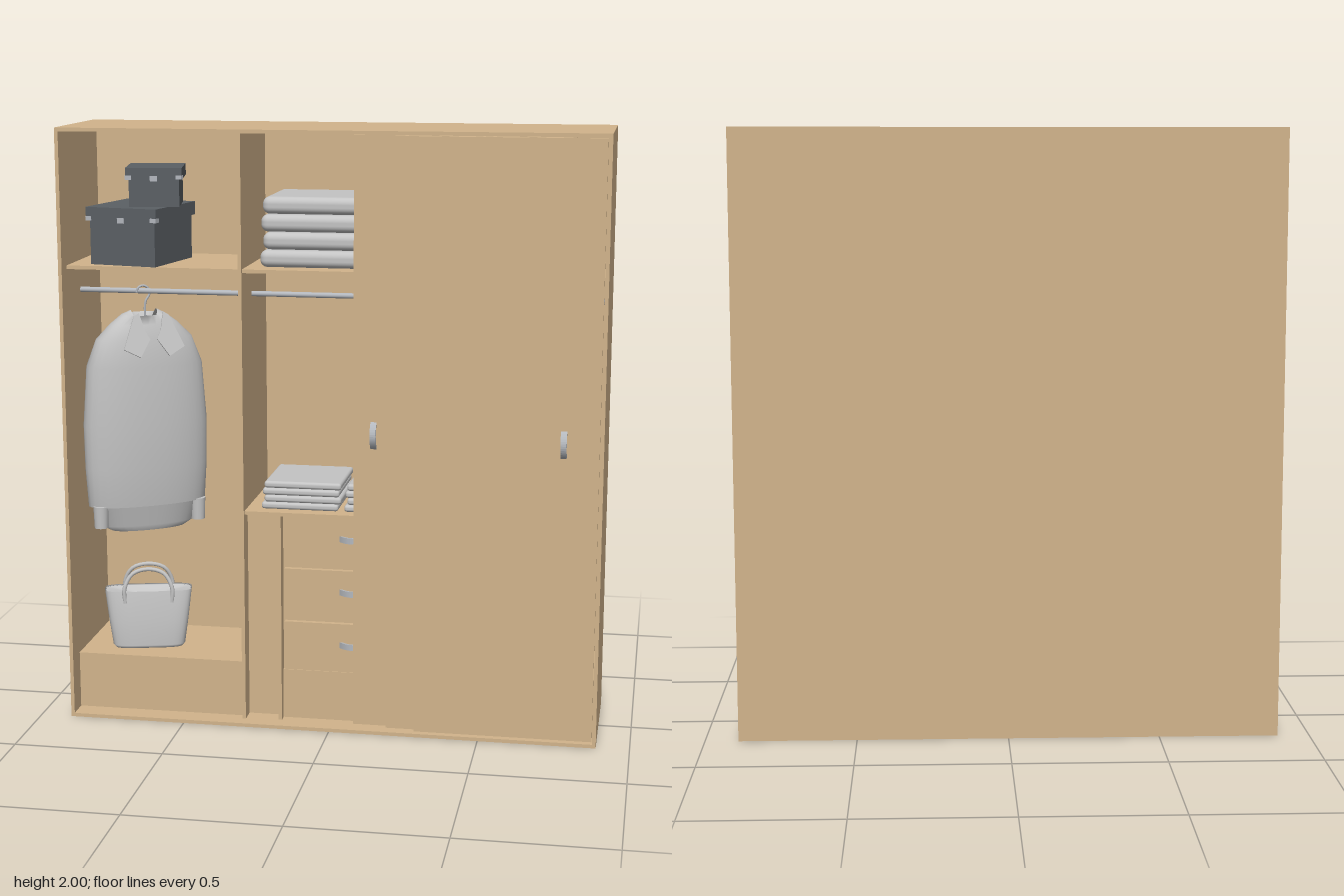
import * as THREE from 'three';
import { RoundedBoxGeometry } from 'three/addons/geometries/RoundedBoxGeometry.js';

const mat = (name, color, side = THREE.FrontSide) => {
  const m = new THREE.MeshStandardMaterial({ color, side });
  m.name = name;
  return m;
};

export function createModel() {
  const wood = mat('wood', 0xd2b48c);
  const cloth = mat('cloth', 0xc4c4c4, THREE.DoubleSide);
  const metal = mat('metal', 0xb4b8be);
  const card = mat('darkCard', 0x5b6065);

  const root = new THREE.Group();
  root.name = 'wardrobe';

  const add = (parent, name, geo, material) => {
    const mesh = new THREE.Mesh(geo, material);
    mesh.name = name;
    parent.add(mesh);
    return mesh;
  };
  const group = (name, x, y, z, turn = 0) => {
    const g = new THREE.Group();
    g.name = name;
    g.position.set(x, y, z);
    g.rotation.y = turn;
    root.add(g);
    return g;
  };
  // Box given by its limits on each axis
  const slab = (name, x0, x1, y0, y1, z0, z1, material = wood, parent = root) => {
    const m = add(parent, name, new THREE.BoxGeometry(x1 - x0, y1 - y0, z1 - z0), material);
    m.position.set((x0 + x1) / 2, (y0 + y1) / 2, (z0 + z1) / 2);
    return m;
  };
  const tube = (parent, name, pts, r, material) => add(parent, name, new THREE.TubeGeometry(
    new THREE.CatmullRomCurve3(pts.map(p => new THREE.Vector3(...p))), 24, r, 8), material);
  // Skin over oval rings [y, halfWidth, halfDepth]; the top ring may dip front and back
  const loft = (rings, power, dip = 0, n = 32) => {
    const pos = [], idx = [];
    const bend = v => Math.sign(v) * Math.abs(v) ** power;
    rings.forEach(([y, w, d], i) => {
      for (let j = 0; j <= n; j++) {
        const a = j / n * Math.PI * 2, s = Math.sin(a);
        pos.push(w * bend(Math.cos(a)), y - (i === rings.length - 1 ? dip * s * s : 0), d * bend(s));
        if (i < rings.length - 1 && j < n) {
          const p = i * (n + 1) + j, q = p + n + 1;
          idx.push(p, q, p + 1, q, q + 1, p + 1);
        }
      }
    });
    const g = new THREE.BufferGeometry();
    g.setAttribute('position', new THREE.Float32BufferAttribute(pos, 3));
    g.setIndex(idx);
    g.computeVertexNormals();
    return g;
  };

  // Carcass
  const L = -0.895, R = 0.89, B = -0.23, F = 0.215, T = 0.012, inner = 0.16;
  slab('leftPanel', R - T, R, 0, 2, B, F);
  slab('rightPanel', L, L + T, 0, 2, B, F);
  slab('topPanel', L + T, R - T, 2 - T, 2, B, F);
  slab('bottomPanel', L + T, R - T, 0, T, B, F);
  slab('backPanel', L + T, R - T, T, 2 - T, B, B + T);

  // Dividers, shelves and plinths
  const back = B + T;
  for (const x of [-0.305, 0.293]) slab('divider', x, x + T, T, 2 - T, back, inner + 0.01);
  const bays = [[L + T, -0.305], [-0.293, 0.293], [0.305, R - T]];
  for (const [x0, x1] of bays) {
    slab('upperShelf', x0, x1, 1.535, 1.547, back, inner);
    const rod = add(root, 'hangingRod', new THREE.CylinderGeometry(0.009, 0.009, x1 - x0, 16), metal);
    rod.rotation.z = Math.PI / 2;
    rod.position.set((x0 + x1) / 2, 1.447, 0.01);
  }
  for (const i of [0, 2]) slab('plinth', ...bays[i], T, 0.205, back, 0.14);

  // Drawer unit
  slab('drawerUnitTop', -0.293, 0.293, 0.726, 0.738, back, inner);
  slab('drawerUnitSide', -0.182, -0.17, T, 0.726, back, inner);
  slab('drawerUnitFiller', -0.293, -0.182, T, 0.726, back, 0.11);
  slab('drawerUnitBase', -0.17, 0.293, T, 0.183, back, 0.13);
  slab('drawerUnitCore', -0.17, 0.293, 0.183, 0.726, back, 0.12);

  // Bowed handle, upright, standing out by z
  const bow = new THREE.Shape();
  bow.moveTo(0, -0.045);
  bow.quadraticCurveTo(0.045, 0, 0, 0.045);
  bow.lineTo(0, 0.034);
  bow.quadraticCurveTo(0.032, 0, 0, -0.034);
  const handleGeo = new THREE.ExtrudeGeometry(bow, { depth: 0.02, bevelEnabled: false, curveSegments: 12 });
  handleGeo.translate(0, 0, -0.01).rotateY(-Math.PI / 2);
  const handle = (name, x, y, z, roll = 0) => {
    const h = add(root, name, handleGeo, metal);
    h.position.set(x, y, z);
    h.rotation.z = roll;
  };
  for (const y of [0.187, 0.372, 0.556]) {
    slab('drawerFront', -0.163, 0.287, y, y + 0.168, 0.12, 0.138);
    handle('drawerHandle', 0.07, y + 0.094, 0.138, Math.PI / 2);
  }

  // Three sliding doors stacked on their tracks
  [[0.288, 0.213], [0.19, 0.195], [0.077, 0.177]].forEach(([x, z], i) => {
    slab('slidingDoor', x, x + 0.588, 0.02, 1.985, z - 0.014, z);
    if (i !== 1) handle('doorHandle', i ? 0.143 : 0.762, 1.015, z);
  });

  // Folded textiles
  const stack = (name, x0, x1, y, h, z0, z1) => {
    for (let i = 0; i < 4; i++) {
      const shift = (i % 2 ? 0.006 : 0) - (i === 0 ? 0.004 : 0);
      const m = add(root, name, new RoundedBoxGeometry(x1 - x0, h * 0.97, z1 - z0, 4, h * 0.4), cloth);
      m.position.set((x0 + x1) / 2 + shift, y + h * (i + 0.5), (z0 + z1) / 2);
    }
  };
  stack('foldedBlanket', -0.24, 0.2, 1.548, 0.058, -0.18, 0.12);
  stack('foldedTowel', -0.24, 0.02, 0.738, 0.024, -0.14, 0.12);
  stack('foldedTowel', 0.04, 0.285, 0.738, 0.024, -0.14, 0.12);

  // Storage boxes with lids and metal corner clips
  const storageBox = (x, y, z, turn, w, h, d, lid) => {
    const g = group('storageBox', x, y, z, turn);
    slab('boxBody', -w / 2, w / 2, 0, h - lid, -d / 2, d / 2, card, g);
    const W = w / 2 + 0.01, D = d / 2 + 0.01;
    slab('boxLid', -W, W, h - lid, h, -D, D, card, g);
    for (const s of [-1, 1]) {
      const c = s * (W - 0.01);
      slab('cornerClip', c - 0.01, c + 0.01, h - lid, h - lid + 0.014, D, D + 0.003, metal, g);
      slab('cornerClip', s * W - 0.002, s * W + 0.002, h - lid, h - lid + 0.014, D - 0.02, D, metal, g);
    }
    slab('lidCatch', -0.012, 0.012, h - lid - 0.006, h - lid + 0.012, D, D + 0.003, metal, g);
  };
  storageBox(-0.67, 1.547, 0, -0.2, 0.235, 0.19, 0.28, 0.044);
  storageBox(-0.617, 1.737, 0, 0.18, 0.165, 0.128, 0.18, 0.038);

  // Shirt on a hanger, turned on the rod
  const shirt = group('shirt', -0.667, 0, 0.01, 0.55);
  add(shirt, 'shirtBody', loft([
    [0.63, 0.13, 0.05], [0.65, 0.165, 0.06], [0.72, 0.185, 0.07], [0.72, 0.205, 0.075],
    [0.85, 0.213, 0.085], [1.0, 0.215, 0.09], [1.2, 0.2, 0.085], [1.29, 0.165, 0.075],
    [1.34, 0.115, 0.06], [1.37, 0.075, 0.05], [1.385, 0.045, 0.04],
  ], 0.9, 0.08), cloth);
  const flap = new THREE.Shape([[0.042, 0.15], [0.06, 0.14], [0.105, 0.03], [0.05, 0], [0.012, 0.06], [0.028, 0.09]]
    .map(p => new THREE.Vector2(...p)));
  for (const s of [-1, 1]) {
    const cuff = add(shirt, 'cuff', new THREE.CylinderGeometry(0.026, 0.023, 0.075, 16), cloth);
    cuff.position.set(s * 0.172, 0.687, 0.03);
    const collar = add(shirt, 'collarFlap',
      new THREE.ExtrudeGeometry(flap, { depth: 0.006, bevelEnabled: false }), cloth);
    collar.scale.x = s;
    collar.position.set(0.012, 1.235, 0.088);
    collar.rotation.x = -0.3;
  }
  tube(shirt, 'hangerHook', [[-0.022, 1.442, 0], [-0.018, 1.457, 0], [0, 1.465, 0], [0.018, 1.455, 0],
    [0.022, 1.435, 0], [0.008, 1.41, 0], [0.006, 1.34, 0]], 0.004, metal);
  tube(shirt, 'hangerArms', [[-0.13, 1.27, 0], [-0.06, 1.32, 0], [0, 1.34, 0], [0.06, 1.32, 0], [0.13, 1.27, 0]],
    0.006, metal);

  // Handbag with two arched handles
  const bag = group('handbag', -0.672, 0.207, 0, 0.25);
  add(bag, 'bagBody', loft([
    [0, 0, 0], [0, 0.118, 0.06], [0.01, 0.125, 0.065], [0.1, 0.138, 0.062], [0.2, 0.15, 0.05],
    [0.196, 0.145, 0.045], [0.17, 0, 0],
  ], 0.45), cloth);
  for (const z of [-0.05, 0.05]) {
    tube(bag, 'bagHandle', [[-0.08, 0.16, z], [-0.082, 0.21, z], [-0.055, 0.26, z * 0.8], [0, 0.276, z * 0.7],
      [0.055, 0.26, z * 0.8], [0.082, 0.21, z], [0.08, 0.16, z]], 0.007, cloth);
  }

  return root;
}
